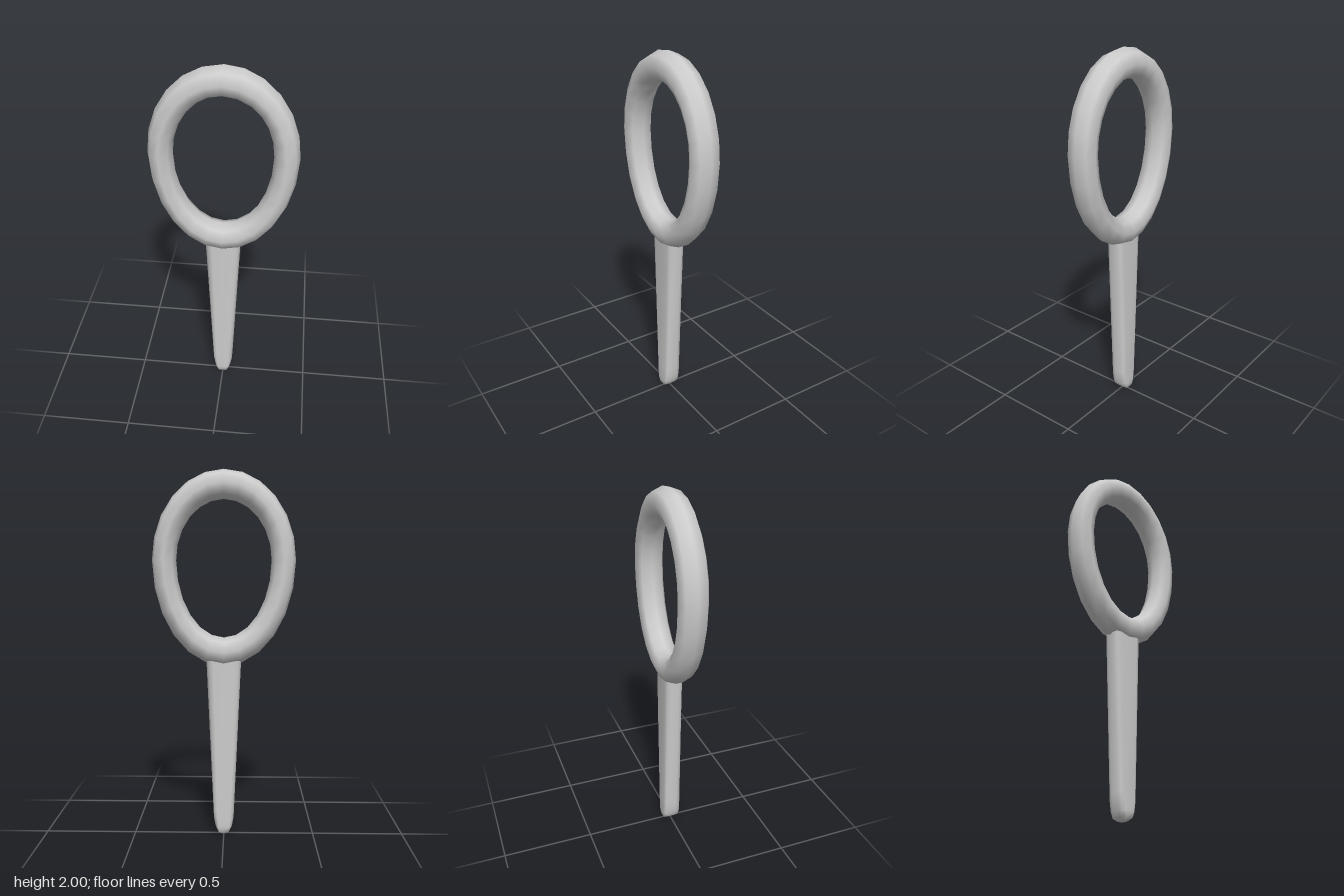
import * as THREE from 'three';

// Surface through closed or open rows of points, each row a closed loop
function loft(rows, closeRows) {
  const n = rows[0].length, m = rows.length, index = [];
  for (let i = 0; i < (closeRows ? m : m - 1); i++) {
    for (let j = 0; j < n; j++) {
      const a = i * n + j, b = i * n + (j + 1) % n;
      const k = ((i + 1) % m) * n;
      const c = k + j, d = k + (j + 1) % n;
      index.push(a, c, b, b, c, d);
    }
  }
  const g = new THREE.BufferGeometry();
  g.setAttribute('position', new THREE.Float32BufferAttribute(rows.flat(2), 3));
  g.setIndex(index);
  g.computeVertexNormals();
  return g;
}

// Egg-shaped loop with an eight-sided section
function ringGeometry() {
  const rows = [];
  for (let i = 0; i < 24; i++) {
    const a = (i / 24) * Math.PI * 2;
    const height = Math.sin(a) > 0 ? 0.3975 : 0.4925;
    const row = [];
    for (let j = 0; j < 8; j++) {
      const t = (j / 8) * Math.PI * 2, c = Math.cos(t);
      row.push([
        Math.cos(a) * (0.32 + 0.065 * c),
        1.525 + Math.sin(a) * (height + 0.0775 * c),
        0.08 * Math.sin(t),
      ]);
    }
    rows.push(row);
  }
  return loft(rows, true);
}

// Flattened, tapering shaft with rounded sides and a blunt tip
function handleGeometry() {
  const levels = [ // y, half width, half depth
    [0, 0.001, 0.001], [0.004, 0.015, 0.022], [0.02, 0.033, 0.048],
    [0.05, 0.046, 0.05], [0.1, 0.055, 0.05], [0.14, 0.057, 0.05],
    [0.985, 0.094, 0.05], [1.04, 0.096, 0.05],
  ];
  const section = [
    [1, 0.4], [0.88, 0.82], [0.62, 1], [-0.62, 1], [-0.88, 0.82], [-1, 0.4],
    [-1, -0.4], [-0.88, -0.82], [-0.62, -1], [0.62, -1], [0.88, -0.82], [1, -0.4],
  ];
  return loft(levels.map(([y, w, d]) => section.map(([x, z]) => [x * w, y, z * d])), false);
}

export function createModel() {
  const group = new THREE.Group();
  const grey = new THREE.MeshStandardMaterial({ color: 0xcccccc });
  grey.name = 'light grey';
  const add = (name, geometry) => {
    const mesh = new THREE.Mesh(geometry, grey);
    mesh.name = name;
    group.add(mesh);
  };
  add('ring', ringGeometry());
  add('handle', handleGeometry());
  return group;
}
